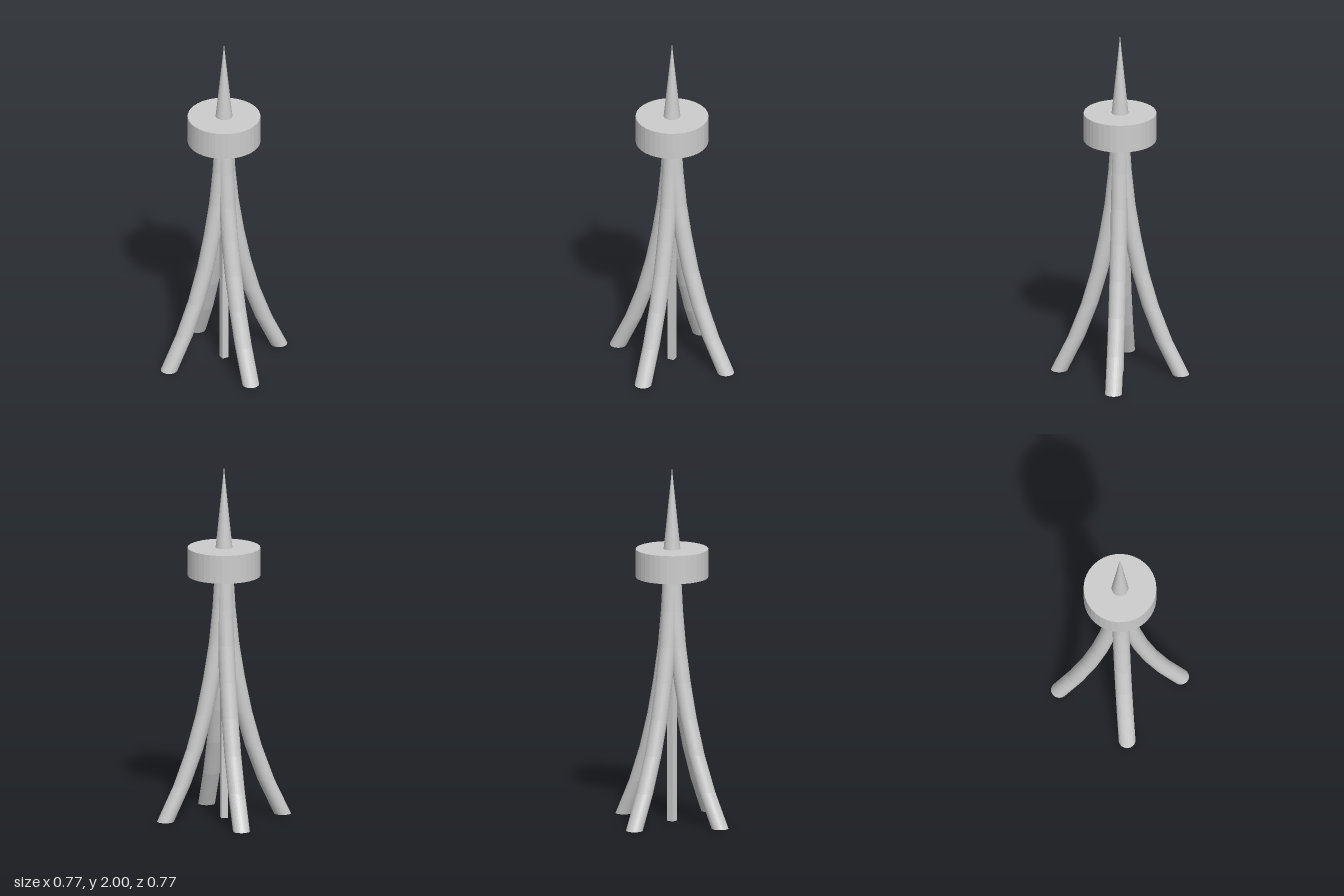
import * as THREE from 'three';

const material = new THREE.MeshStandardMaterial({ color: 0xcccccc, flatShading: true });

function addPart(parent, name, geometry, y = 0) {
  const mesh = new THREE.Mesh(geometry, material);
  mesh.name = name;
  mesh.position.y = y;
  parent.add(mesh);
  return mesh;
}

// Outward offset of a leg's centre at heights 0, 0.2, 0.4 ... 1.4
const legOffsets = [0.34, 0.245, 0.171, 0.115, 0.073, 0.04, 0.019, 0.006];

// Upright cylinder whose horizontal rings are slid outward towards the ground
function legGeometry() {
  const height = 1.4;
  const rings = legOffsets.length - 1;
  const geometry = new THREE.CylinderGeometry(0.047, 0.047, height, 32, rings);
  geometry.translate(0, height / 2, 0);
  const pos = geometry.attributes.position;
  for (let i = 0; i < pos.count; i++) {
    const ring = Math.round((pos.getY(i) / height) * rings);
    pos.setX(i, pos.getX(i) + legOffsets[ring]);
  }
  geometry.computeVertexNormals();
  return geometry;
}

export function createModel() {
  const tower = new THREE.Group();
  tower.name = 'tower';

  // Four splayed legs
  const leg = legGeometry();
  ['leftLeg', 'backLeg', 'rightLeg', 'frontLeg'].forEach((name, i) => {
    addPart(tower, name, leg).rotation.y = (i * Math.PI) / 2;
  });

  // Thin square shaft down the middle
  addPart(tower, 'centralShaft', new THREE.BoxGeometry(0.038, 1.4, 0.038), 0.7);

  // Round observation deck
  addPart(tower, 'deck', new THREE.CylinderGeometry(0.203, 0.203, 0.16, 36), 1.47);

  // Spire and its needle tip
  addPart(tower, 'spire', new THREE.CylinderGeometry(0.003, 0.047, 0.43, 32), 1.765);
  addPart(tower, 'needle', new THREE.CylinderGeometry(0.003, 0.003, 0.03, 8), 1.985);

  return tower;
}
